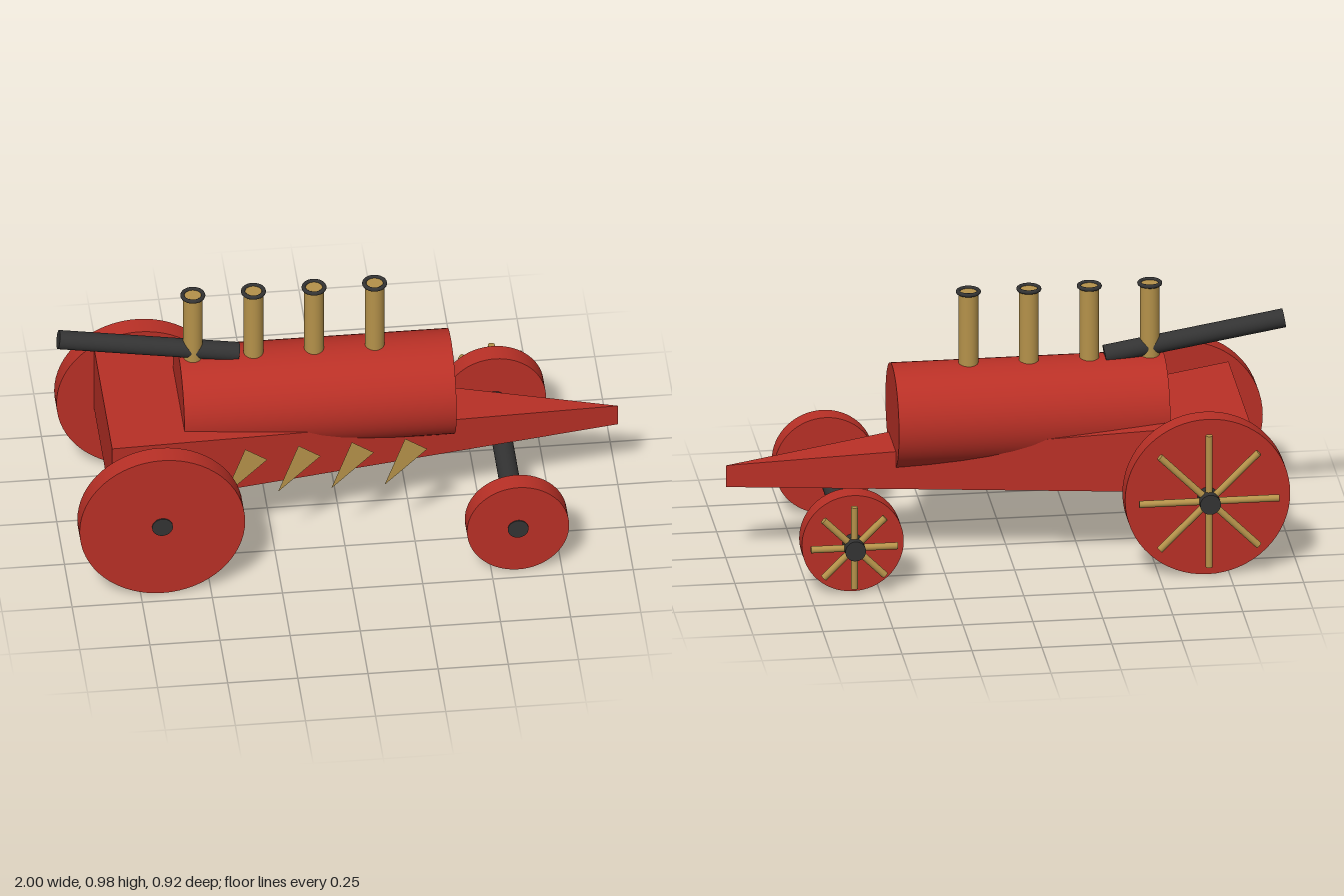
import * as THREE from 'three';

const material = (name, color, extra = {}) => {
  const m = new THREE.MeshStandardMaterial({ color, ...extra });
  m.name = name;
  return m;
};

export function createModel() {
  const model = new THREE.Group();
  model.name = 'steamWagon';
  const red = material('red paint', 0xb93026);
  const dark = material('dark iron', 0x333333);
  const brass = material('brass', 0xb5924a);
  const brassSheet = material('brass', 0xb5924a, { side: THREE.DoubleSide });

  const add = (name, geometry, mat, x = 0, y = 0, z = 0, parent = model) => {
    const mesh = new THREE.Mesh(geometry, mat);
    mesh.name = name;
    mesh.position.set(x, y, z);
    parent.add(mesh);
    return mesh;
  };

  // Wedge chassis: a triangle in plan whose top slopes down to the nose
  const plan = new THREE.Shape([
    new THREE.Vector2(-0.835, -0.297),
    new THREE.Vector2(1, 0),
    new THREE.Vector2(-0.835, 0.297),
  ]);
  const chassis = new THREE.ExtrudeGeometry(plan, { depth: 0.268, bevelEnabled: false });
  chassis.rotateX(-Math.PI / 2);
  const pos = chassis.attributes.position;
  for (let i = 0; i < pos.count; i++) {
    if (pos.getY(i) > 0.1 && pos.getX(i) > 0.9) pos.setY(i, 0.082);
  }
  chassis.computeVertexNormals();
  add('chassis', chassis, red, 0, 0.272, 0);

  // Boiler lying along the chassis
  add('boiler', new THREE.CylinderGeometry(0.188, 0.188, 0.97, 48).rotateZ(Math.PI / 2),
    red, -0.08, 0.515, 0);

  // Four chimneys with dark rims
  for (let i = 0; i < 4; i++) {
    const x = -0.515 + i * 0.216;
    add('chimney', new THREE.CylinderGeometry(0.035, 0.035, 0.29, 32), brass, x, 0.828, 0);
    add('chimneyRim', new THREE.TorusGeometry(0.037, 0.0075, 10, 32).rotateX(Math.PI / 2),
      dark, x, 0.973, 0);
  }

  // Sloping tail pipe
  const pipe = add('tailPipe', new THREE.CylinderGeometry(0.034, 0.034, 0.65, 32).rotateZ(Math.PI / 2),
    dark, -0.674, 0.762, 0);
  pipe.rotation.z = -0.165;

  // Axles, wheels, and eight spokes outside each far wheel
  const wheelSet = (name, x, y, radius, spokeLength) => {
    const set = new THREE.Group();
    set.name = name;
    set.position.set(x, y, 0);
    model.add(set);
    add('axle', new THREE.CylinderGeometry(0.037, 0.037, 0.916, 32).rotateX(Math.PI / 2),
      dark, 0, 0, 0, set);
    for (const z of [0.416, -0.34]) {
      add('wheel', new THREE.CylinderGeometry(radius, radius, 0.075, 64).rotateX(Math.PI / 2),
        red, 0, 0, z, set);
    }
    for (let i = 0; i < 8; i++) {
      const spoke = new THREE.CylinderGeometry(0.0125, 0.0125, spokeLength, 16);
      spoke.translate(0, spokeLength / 2, 0);
      spoke.rotateZ(i * Math.PI / 4);
      add('spoke', spoke, brass, 0, 0, -0.42, set);
    }
  };
  wheelSet('rearWheels', -0.673, 0.298, 0.295, 0.25);
  wheelSet('frontWheels', 0.595, 0.185, 0.182, 0.155);

  // Row of thin pointed fins along one side
  const fin = new THREE.BufferGeometry();
  fin.setAttribute('position', new THREE.Float32BufferAttribute([
    0.136, 0.302, 0.3,
    0.291, 0.427, 0.272,
    0.211, 0.487, 0.282,
  ], 3));
  fin.computeVertexNormals();
  for (let i = 0; i < 5; i++) add('sideFin', fin, brassSheet, -i * 0.19, 0, 0);

  return model;
}
